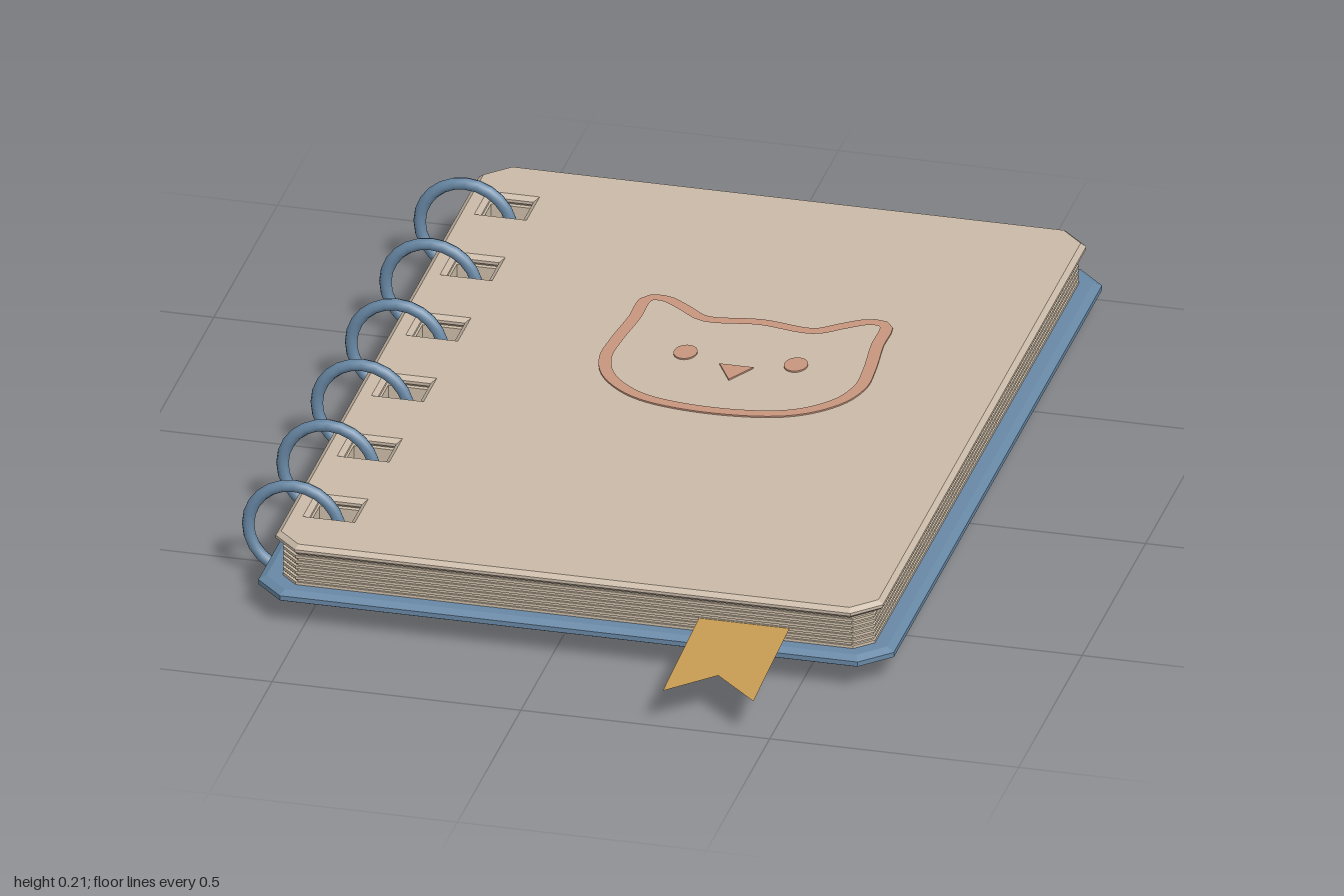
import * as THREE from 'three';

const mat = (name, color, side = THREE.FrontSide) => {
  const m = new THREE.MeshStandardMaterial({ color, side });
  m.name = name;
  return m;
};

export function createModel() {
  const blue = mat('slate blue', 0x6888a5);
  const tan = mat('cover tan', 0xc9b9a7);
  const cream = mat('page cream', 0xcdbda8);
  const terracotta = mat('terracotta', 0xc7957d);
  const gold = mat('ribbon gold', 0xc59a52, THREE.DoubleSide);

  const book = new THREE.Group();
  book.name = 'notebook';
  const add = (name, geometry, material, parent = book) => {
    const mesh = new THREE.Mesh(geometry, material);
    mesh.name = name;
    parent.add(mesh);
    return mesh;
  };

  const ringZ = Array.from({ length: 6 }, (_, i) => -0.8 + i * 0.27);

  // Shapes are drawn in (x, -z) and laid flat
  const points = list => list.map(([x, z]) => new THREE.Vector2(x, -z));

  // Cut-corner sheet with a square punch hole for every ring
  function sheet(x0, x1, z0, z1, cut, y0, y1, bevel = 0) {
    const shape = new THREE.Shape(points([
      [x0 + cut, z1], [x1 - cut, z1], [x1, z1 - cut], [x1, z0 + cut],
      [x1 - cut, z0], [x0 + cut, z0], [x0, z0 + cut], [x0, z1 - cut],
    ]));
    for (const z of ringZ) {
      shape.holes.push(new THREE.Path(points([
        [-0.53, z - 0.042], [-0.445, z - 0.042], [-0.445, z + 0.042], [-0.53, z + 0.042],
      ])));
    }
    const lip = bevel ? 0.008 : 0;
    const g = new THREE.ExtrudeGeometry(shape, {
      depth: y1 - y0 - 2 * lip, bevelEnabled: bevel > 0, bevelThickness: lip,
      bevelSize: bevel, bevelOffset: -bevel, bevelSegments: 1,
    });
    return g.rotateX(-Math.PI / 2).translate(0, y0 + lip, 0);
  }

  // Covers
  add('backCover', sheet(-0.605, 0.672, -1, 0.755, 0.058, 0.044, 0.07, 0.015), blue);
  add('frontCover', sheet(-0.575, 0.645, -0.975, 0.73, 0.052, 0.139, 0.161, 0.01), tan);

  // Page block of stacked sheets, every other one slightly inset
  const pages = new THREE.Group();
  pages.name = 'pages';
  book.add(pages);
  const count = 12, step = 0.069 / count;
  for (let i = 0; i < count; i++) {
    const inset = (i % 2) * 0.004, y = 0.07 + i * step;
    add('page', sheet(-0.56 + inset, 0.63 - inset, -0.96 + inset, 0.716 - inset, 0.035,
      y, y + step), cream, pages);
  }

  // Binding rings
  const rings = new THREE.Group();
  rings.name = 'bindingRings';
  book.add(rings);
  const ringGeometry = new THREE.TorusGeometry(0.093, 0.0125, 8, 24);
  for (const z of ringZ) add('ring', ringGeometry, blue, rings).position.set(-0.57, 0.1055, z);

  // Swallow-tailed ribbon sloping down out of the pages
  const ribbon = new THREE.ShapeGeometry(new THREE.Shape(points([
    [0.285, 0.5], [0.285, 1], [0.376, 0.92], [0.467, 1], [0.467, 0.5],
  ]))).rotateX(-Math.PI / 2);
  const p = ribbon.attributes.position;
  for (let i = 0; i < p.count; i++) p.setY(i, 0.078 + (1 - p.getZ(i)) * 0.07);
  ribbon.computeVertexNormals();
  add('bookmarkRibbon', ribbon, gold);

  // Painted cat face on the front cover
  const face = new THREE.Group();
  face.name = 'catFace';
  face.position.set(0.118, 0.16, 0);
  book.add(face);
  const paint = (name, shape) => add(name, new THREE.ExtrudeGeometry(shape,
    { depth: 0.004, bevelEnabled: false, curveSegments: 16 }).rotateX(-Math.PI / 2),
  terracotta, face);

  // Outline: half profile mirrored, then widened into a stroke
  const half = [[0.11, -0.416], [0.16, -0.452], [0.208, -0.482], [0.238, -0.475],
    [0.244, -0.385], [0.255, -0.28], [0.256, -0.205], [0.228, -0.13], [0.15, -0.062]];
  const loop = [[0, -0.428], ...half, [0, -0.036],
    ...half.map(([x, z]) => [-x, z]).reverse()];
  const curve = new THREE.CatmullRomCurve3(
    loop.map(([x, z]) => new THREE.Vector3(x, -z, 0)), true, 'centripetal');
  const outer = [], inner = [];
  for (let i = 0; i < 96; i++) {
    const c = curve.getPointAt(i / 96), t = curve.getTangentAt(i / 96);
    const nx = -t.y * 0.0125, ny = t.x * 0.0125;
    outer.push(new THREE.Vector2(c.x + nx, c.y + ny));
    inner.push(new THREE.Vector2(c.x - nx, c.y - ny));
  }
  const outline = new THREE.Shape(outer);
  outline.holes.push(new THREE.Path(inner));
  paint('faceOutline', outline);

  // Eyes and nose
  for (const side of [-1, 1]) {
    const eye = new THREE.Shape();
    eye.absellipse(side * 0.111, 0.268, 0.023, 0.03, 0, Math.PI * 2);
    paint(side > 0 ? 'leftEye' : 'rightEye', eye);
  }
  paint('nose', new THREE.Shape(points([[-0.034, -0.235], [0, -0.173], [0.034, -0.235]])));

  return book;
}
